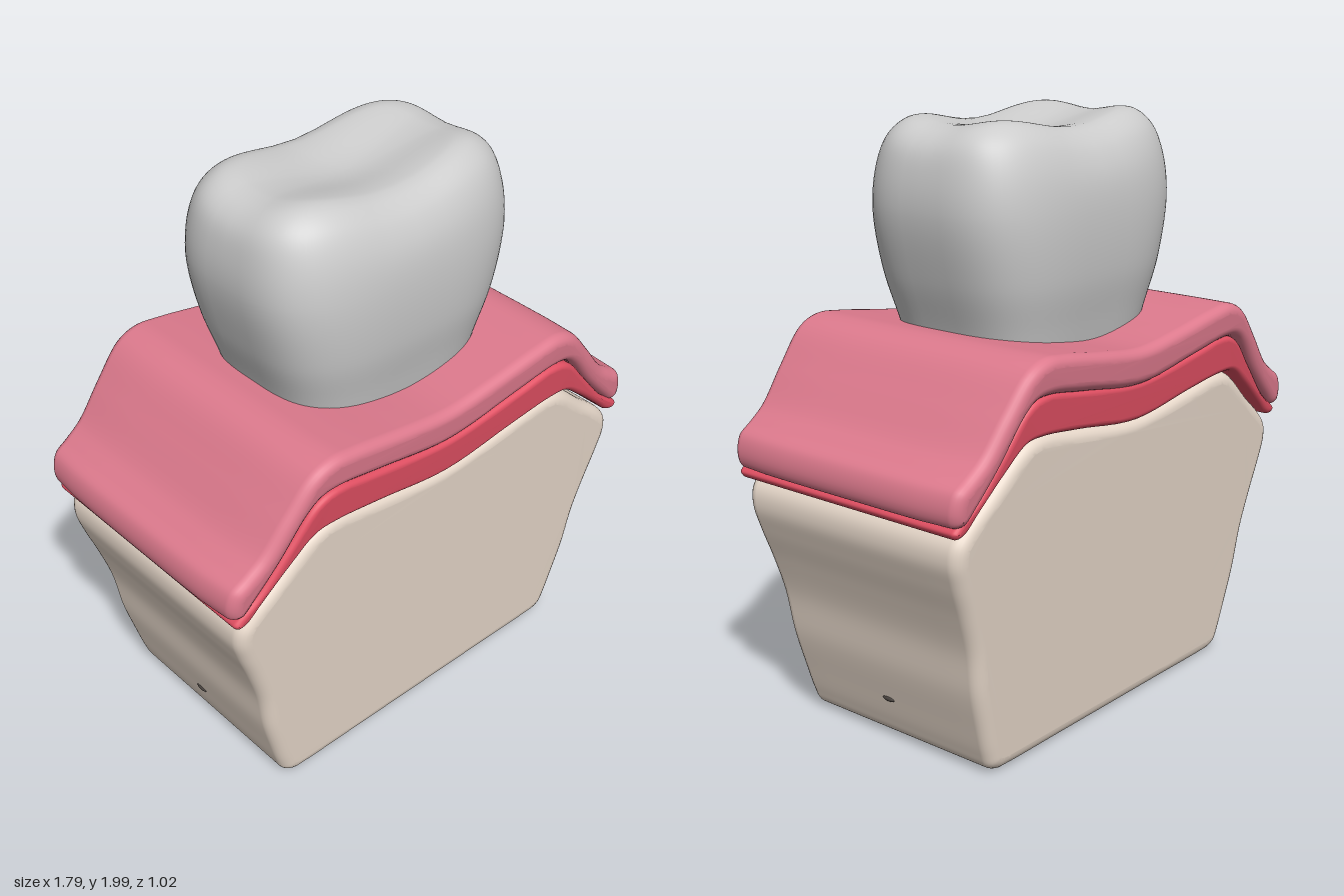
import * as THREE from 'three';
import { mergeVertices } from 'three/addons/utils/BufferGeometryUtils.js';

const mat = (color) => new THREE.MeshStandardMaterial({ color });

// Half outline (top centre round to bottom centre), mirrored and smoothed.
function outline(half) {
  const mirrored = half.filter(([x]) => x > 0).reverse().map(([x, y]) => [-x, y]);
  const pts = [...half, ...mirrored].map(([x, y]) => new THREE.Vector3(x, y, 0));
  const curve = new THREE.CatmullRomCurve3(pts, true, 'centripetal');
  return new THREE.Shape(curve.getPoints(pts.length * 6).slice(0, -1).map((p) => new THREE.Vector2(p.x, p.y)));
}

// Rounded slab: the outline runs front to back, its depth widening with height.
function slab(name, color, half, { bevel, base, slope, shift = 0, taper = 0 }) {
  const depth = 2 * (0.45 - bevel);
  let geo = new THREE.ExtrudeGeometry(outline(half), {
    depth, bevelThickness: bevel, bevelSize: bevel, bevelOffset: -bevel, bevelSegments: 6, steps: 8,
  });
  const p = geo.attributes.position;
  for (let i = 0; i < p.count; i++) {
    const t = (p.getZ(i) - depth / 2) / 0.45;
    p.setX(i, p.getX(i) * (1 - taper * t ** 6));
    p.setZ(i, t * (base + slope * p.getY(i)) + shift);
  }
  geo.deleteAttribute('uv');
  geo.deleteAttribute('normal');
  geo = mergeVertices(geo, 1e-5);
  geo.computeVertexNormals();
  const mesh = new THREE.Mesh(geo, mat(color));
  mesh.name = name;
  return mesh;
}

// Crown: rounded-rectangle rings [y, half width, half depth], with four cusps on top.
function crown() {
  const rows = [[1.1, 0.34, 0.27], [1.33, 0.405, 0.313], [1.5, 0.46, 0.345], [1.7, 0.5, 0.353],
    [1.84, 0.492, 0.335], [1.93, 0.465, 0.3], [1.98, 0.415, 0.255], [2, 0.34, 0.205], [2, 0.18, 0.105], [2, 0, 0]];
  const path = new THREE.CatmullRomCurve3(rows.map(([y, a, b]) => new THREE.Vector3(a, y, b)), false, 'centripetal');
  const rings = 60, sides = 80, pos = [], idx = [];
  const power = (v) => Math.sign(v) * Math.abs(v) ** (2 / 3.4);
  const dip = (v, w) => (Math.abs(v) < w ? 0.5 + 0.5 * Math.cos(Math.PI * v / w) : 0);
  for (let i = 0; i <= rings; i++) {
    const r = path.getPoint(i / rings);
    for (let j = 0; j < sides; j++) {
      const a = (j / sides) * Math.PI * 2;
      const x = r.x * power(Math.cos(a)), z = r.z * power(Math.sin(a));
      const drop = THREE.MathUtils.smoothstep(r.y, 1.7, 2) * (0.045 * dip(x, 0.36) + 0.026 * dip(z, 0.2));
      pos.push(x, Math.min(r.y, 2) - drop, z + 0.008);
      if (i < rings) {
        const n = (j + 1) % sides, b = i * sides, c = b + sides;
        idx.push(b + j, c + j, b + n, b + n, c + j, c + n);
      }
    }
  }
  const geo = new THREE.BufferGeometry();
  geo.setAttribute('position', new THREE.Float32BufferAttribute(pos, 3));
  geo.setIndex(idx);
  geo.computeVertexNormals();
  const mesh = new THREE.Mesh(geo, mat(0xcccccc));
  mesh.name = 'toothCrown';
  return mesh;
}

export function createModel() {
  const model = new THREE.Group();
  model.name = 'toothModel';

  model.add(crown());

  // Outer gum with rolled ends
  model.add(slab('outerGum', 0xdd7a8d, [
    [0, 1.28], [0.2, 1.302], [0.4, 1.333], [0.5, 1.34], [0.58, 1.31], [0.68, 1.2], [0.77, 1.09], [0.83, 1.045],
    [0.88, 1.01], [0.897, 0.95], [0.885, 0.91], [0.85, 0.902], [0.8, 0.945], [0.7, 1.05], [0.6, 1.175],
    [0.55, 1.212], [0.48, 1.22], [0.3, 1.195], [0, 1.155],
  ], { bevel: 0.035, base: 0.41, slope: 0.075, taper: 0.02 }));

  // Inner gum layer
  model.add(slab('innerGum', 0xe04f62, [
    [0, 1.165], [0.3, 1.2], [0.48, 1.225], [0.56, 1.2], [0.66, 1.09], [0.78, 0.955], [0.85, 0.905], [0.868, 0.885],
    [0.855, 0.866], [0.82, 0.872], [0.76, 0.925], [0.65, 1.02], [0.56, 1.085], [0.48, 1.092], [0.3, 1.073], [0, 1.035],
  ], { bevel: 0.02, base: 0.4, slope: 0.078, shift: 0.008 }));

  // Jaw bone
  model.add(slab('jawBone', 0xe8d9cb, [
    [0, 1.04], [0.3, 1.075], [0.48, 1.097], [0.56, 1.075], [0.7, 0.96], [0.8, 0.88], [0.84, 0.83], [0.847, 0.77],
    [0.825, 0.69], [0.785, 0.58], [0.745, 0.45], [0.72, 0.3], [0.685, 0.17], [0.655, 0.07], [0.635, 0.025],
    [0.6, 0.004], [0.55, 0], [0.3, 0], [0, 0],
  ], { bevel: 0.045, base: 0.403, slope: 0.07, shift: 0.008 }));

  // Small canal openings on both ends of the bone
  for (const side of [-1, 1]) {
    const opening = new THREE.Mesh(new THREE.SphereGeometry(1, 16, 10), mat(0x4a4440));
    opening.name = side > 0 ? 'leftCanalOpening' : 'rightCanalOpening';
    opening.scale.set(0.008, 0.009, 0.026);
    opening.position.set(side * 0.681, 0.16, 0.01);
    model.add(opening);
  }
  return model;
}
